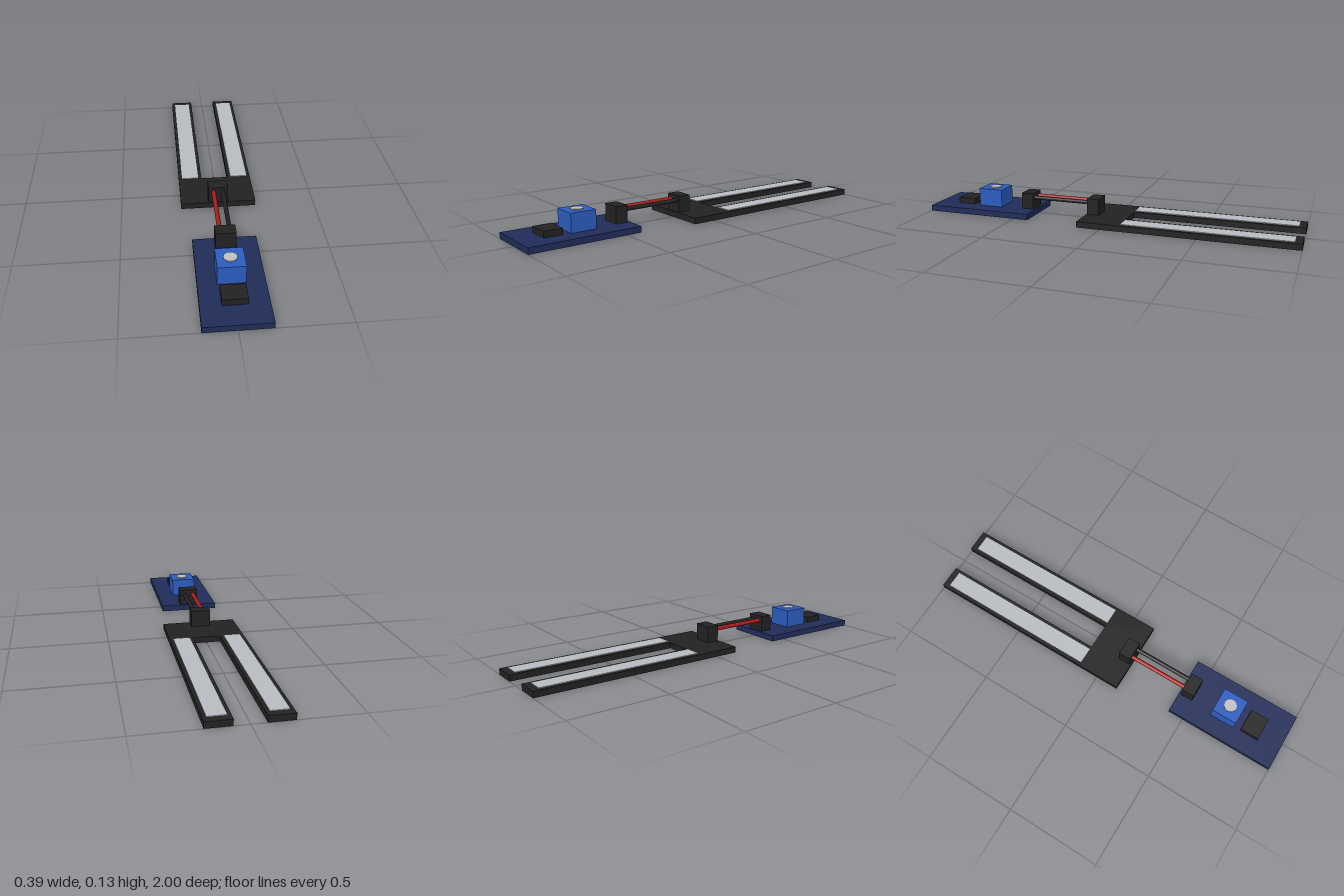
import * as THREE from 'three';

const mat = (name, color) => {
  const m = new THREE.MeshStandardMaterial({ color });
  m.name = name;
  return m;
};

export function createModel() {
  const model = new THREE.Group();
  model.name = 'moistureSensor';

  const black = mat('black', 0x222222);
  const navy = mat('navy', 0x202c58);
  const blue = mat('blue', 0x2c5cbe);
  const silver = mat('silver', 0xb8bcc0);
  const screwGrey = mat('screwGrey', 0xc0c0c0);
  const red = mat('red', 0xaa1c1c);

  const add = (name, geometry, material, x, y, z) => {
    const mesh = new THREE.Mesh(geometry, material);
    mesh.name = name;
    mesh.position.set(x, y, z);
    model.add(mesh);
    return mesh;
  };
  // Box given by centre x, width, and y and z ranges
  const box = (name, material, x, w, y0, y1, z0, z1) =>
    add(name, new THREE.BoxGeometry(w, y1 - y0, z1 - z0), material, x, (y0 + y1) / 2, (z0 + z1) / 2);

  // Two-pronged probe plate, outlined in plan (shape y = -z)
  const outline = [
    [-0.193, -0.123], [0.193, -0.123], [0.193, 1], [0.071, 1],
    [0.071, 0.107], [-0.071, 0.107], [-0.071, 1], [-0.193, 1],
  ].map(([x, y]) => new THREE.Vector2(x, y));
  const plate = new THREE.ExtrudeGeometry(new THREE.Shape(outline), { depth: 0.031, bevelEnabled: false });
  plate.rotateX(-Math.PI / 2);
  add('probePlate', plate, black, 0, 0, 0);

  // Metal contact strips on the prongs
  for (const s of [-1, 1]) {
    box(s < 0 ? 'rightContactStrip' : 'leftContactStrip', silver, s * 0.132, 0.088, 0.031, 0.035, -0.965, -0.107);
  }

  // Control board with its chip
  box('controlBoard', navy, 0, 0.31, 0, 0.031, 0.418, 1);
  box('chip', black, 0, 0.117, 0.031, 0.062, 0.783, 0.88);

  // Adjuster block and round screw
  box('adjusterBlock', blue, 0, 0.131, 0.031, 0.126, 0.612, 0.745);
  add('adjusterScrew', new THREE.CylinderGeometry(0.032, 0.032, 0.005, 24), screwGrey, 0, 0.1285, 0.678);

  // Connectors at both ends of the wires
  box('probeConnector', black, 0, 0.1, 0.031, 0.117, 0.052, 0.117);
  box('boardConnector', black, 0, 0.1, 0.031, 0.117, 0.43, 0.495);

  // Connecting wires
  const wire = new THREE.CylinderGeometry(0.011, 0.011, 0.33, 12).rotateX(Math.PI / 2);
  add('redWire', wire, red, -0.024, 0.091, 0.274);
  add('blackWire', wire, black, 0.024, 0.091, 0.274);

  return model;
}
